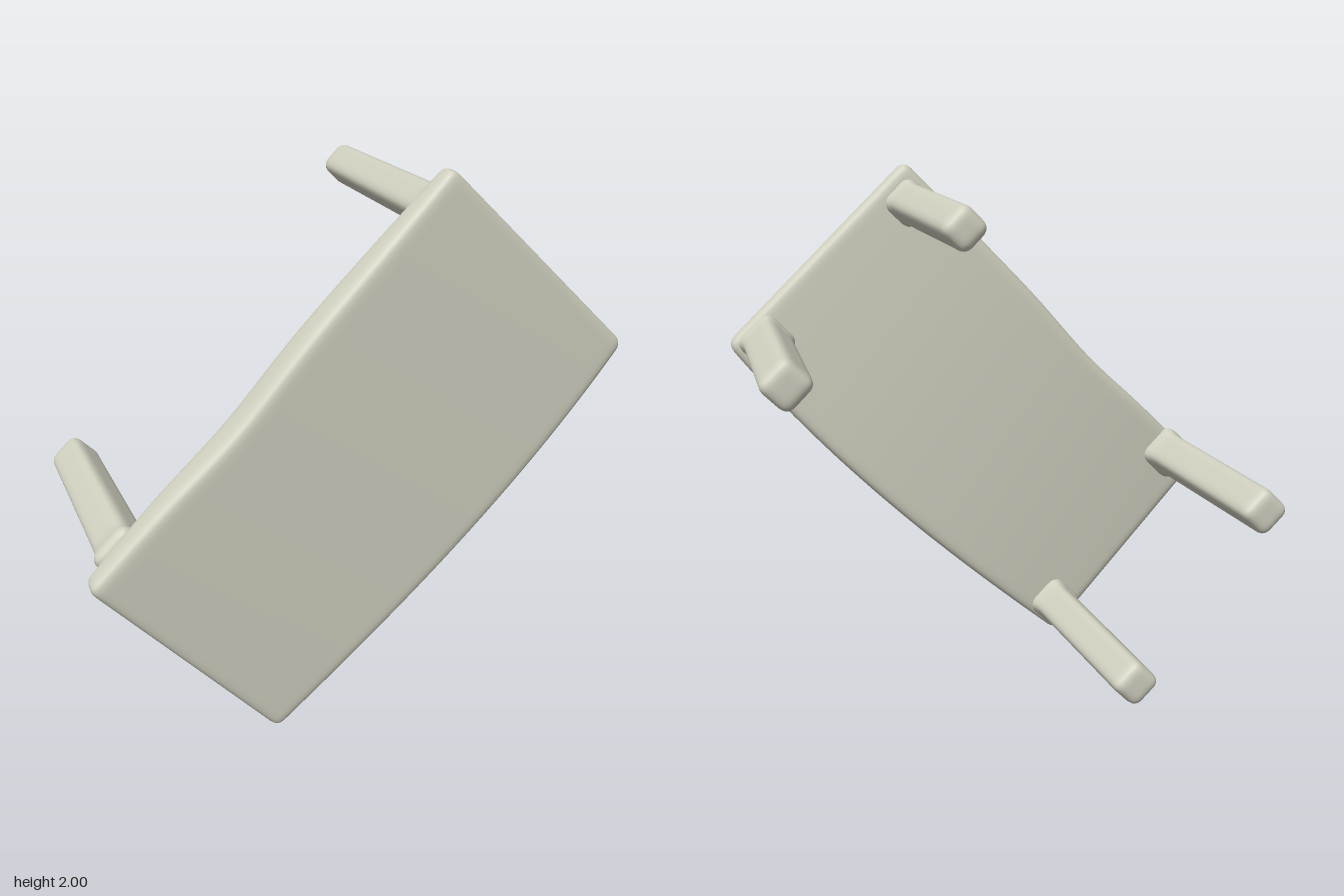
import * as THREE from 'three';
import { mergeVertices } from 'three/addons/utils/BufferGeometryUtils.js';

// Finely divided box with rounded edges; each vertex is then moved by warp(v)
function softBox(size, segments, r, warp) {
  const geo = new THREE.BoxGeometry(2, 2, 2, ...segments);
  geo.deleteAttribute('uv');
  geo.deleteAttribute('normal');
  const half = new THREE.Vector3(...size).multiplyScalar(0.5);
  const inner = half.clone().subScalar(r);
  const low = inner.clone().negate();
  const pos = geo.attributes.position;
  const v = new THREE.Vector3(), core = new THREE.Vector3();
  for (let i = 0; i < pos.count; i++) {
    v.fromBufferAttribute(pos, i);
    // Crowd the vertices towards the edges
    v.set(...v.toArray().map((c) => Math.sin(c * Math.PI / 2))).multiply(half);
    core.copy(v).clamp(low, inner);
    v.sub(core).setLength(r).add(core);
    warp(v);
    pos.setXYZ(i, v.x, v.y, v.z);
  }
  const merged = mergeVertices(geo, 1e-5);
  merged.computeVertexNormals();
  return merged;
}

// Bilinear blend of four corner values: s runs along the top, t across it
function blend(s, t, [pp, pm, mp, mm]) {
  const a = (1 + s) / 2, b = (1 + t) / 2;
  return a * (b * pp + (1 - b) * pm) + (1 - a) * (b * mp + (1 - b) * mm);
}

export function createModel() {
  const model = new THREE.Group();
  model.name = 'tippedTable';
  const stone = new THREE.MeshStandardMaterial({ color: 0xd0d0c0 });
  stone.name = 'pale stone';

  // Table top: a slanted upright slab, slightly bulged and uneven at the long edges
  const L = 1.84, W = 0.95, T = 0.11;
  const top = new THREE.Mesh(softBox([L, W, T], [44, 30, 10], 0.035, (v) => {
    const s = v.x / (L / 2), t = v.y / (W / 2), w = v.z / T + 0.5;
    const bulge = 1 - s * s;
    const front = blend(s, t, [0.49, 0.495, 0.525, 0.51]) + 0.01 * bulge;
    const back = blend(s, t, [0.4, 0.405, 0.425, 0.41]) - 0.042 * bulge;
    const upper = (1 + t) / 2, lower = (1 - t) / 2;
    const push = -0.02 * upper * Math.exp(-(((s + 0.22) / 0.3) ** 2))
      - 0.055 * lower * bulge * (1 + 0.25 * s);
    v.set(
      blend(s, t, [0.29, 0.995, -0.995, -0.34]) - push * Math.SQRT1_2,
      blend(s, t, [2.014, 1.33, 0.71, -0.012]) + push * Math.SQRT1_2,
      back + (front - back) * w,
    );
  }), stone);
  top.name = 'tableTop';
  model.add(top);

  // Legs: rounded square bars, turned with the top, each leaning a little
  const legs = [
    { name: 'upperLeg', base: [0.28, 1.855], tip: [0.285, 1.835], end: -0.53, width: 0.132 },
    { name: 'leftLeg', base: [0.845, 1.335], tip: [0.865, 1.345], end: -0.47, width: 0.15 },
    { name: 'rightLeg', base: [-0.84, 0.765], tip: [-0.87, 0.76], end: -0.465, width: 0.15 },
    { name: 'lowerLeg', base: [-0.33, 0.13], tip: [-0.38, 0.125], end: -0.455, width: 0.147 },
  ];
  for (const { name, base, tip, end, width } of legs) {
    const root = 0.44, length = root - end;
    const leg = new THREE.Mesh(softBox([width, width, length], [12, 12, 30], 0.038, (v) => {
      const k = 0.5 - v.z / length; // 0 at the table top, 1 at the tip
      const z = root - k * length;
      const flare = 0.16 * Math.exp(-(((z - 0.41) / 0.035) ** 2));
      const scale = (1.04 - 0.08 * k + flare) * Math.SQRT1_2;
      const x = (v.x - v.y) * scale, y = (v.x + v.y) * scale;
      v.set(x + base[0] + (tip[0] - base[0]) * k, y + base[1] + (tip[1] - base[1]) * k, z);
    }), stone);
    leg.name = name;
    model.add(leg);
  }
  return model;
}
